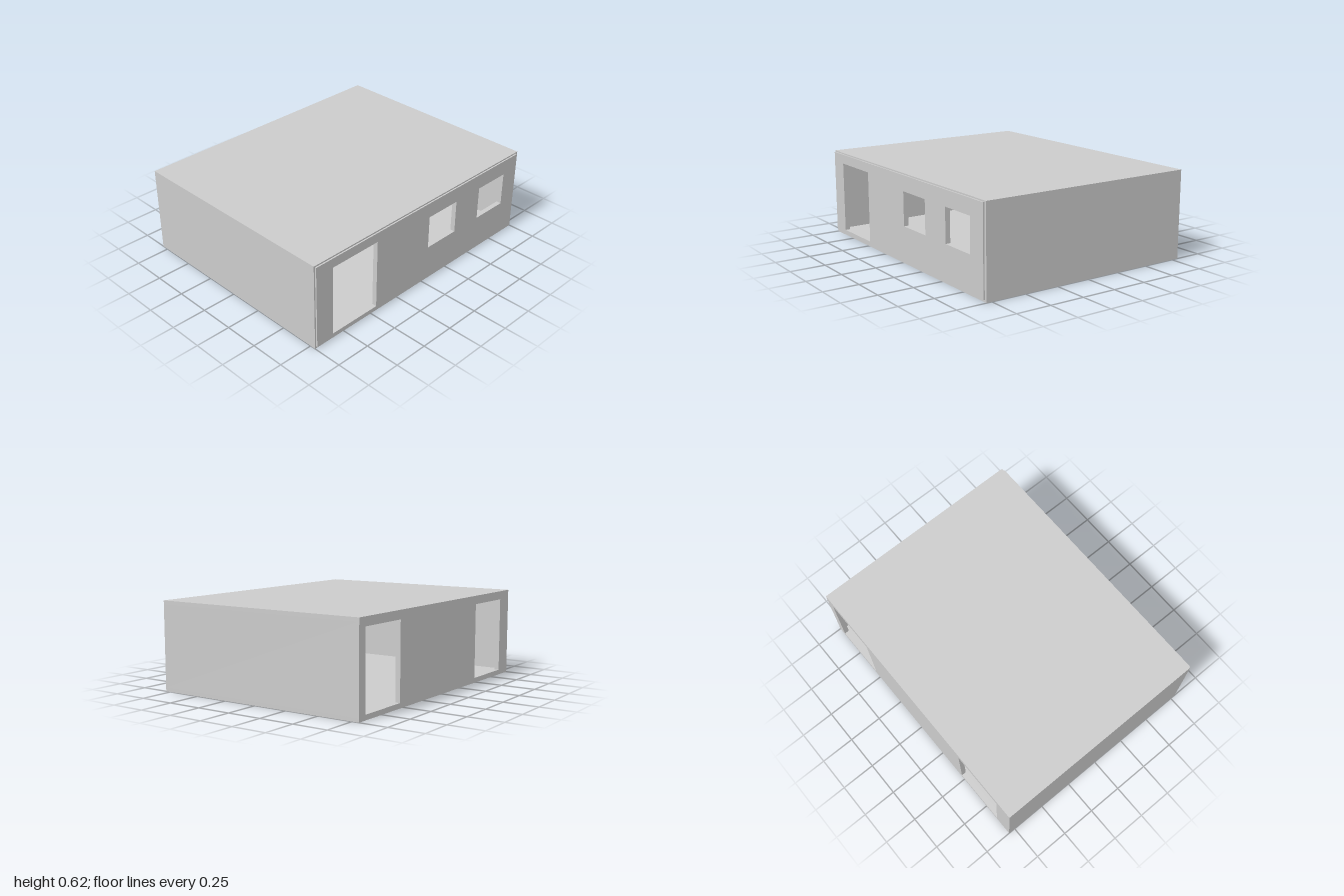
import * as THREE from 'three';

const material = new THREE.MeshStandardMaterial({ color: 0xcccccc, flatShading: true });

const T = 0.025;                 // slab and side wall thickness
const H = 0.625;                 // overall height
const Z0 = -0.8, Z1 = 0.79;      // shell depth; the front panel projects slightly past it

function slab(name, x0, x1, y0, y1, z0, z1) {
  const mesh = new THREE.Mesh(new THREE.BoxGeometry(x1 - x0, y1 - y0, z1 - z0), material);
  mesh.position.set((x0 + x1) / 2, (y0 + y1) / 2, (z0 + z1) / 2);
  mesh.name = name;
  return mesh;
}

function rect(path, [x0, x1, y0, y1]) {
  path.moveTo(x0, y0);
  path.lineTo(x1, y0);
  path.lineTo(x1, y1);
  path.lineTo(x0, y1);
  path.closePath();
  return path;
}

// Upright wall with rectangular openings, each given as [x0, x1, y0, y1]
function wall(name, outline, openings, z0, z1) {
  const shape = rect(new THREE.Shape(), outline);
  openings.forEach((o) => shape.holes.push(rect(new THREE.Path(), o)));
  const geometry = new THREE.ExtrudeGeometry(shape, { depth: z1 - z0, bevelEnabled: false });
  geometry.translate(0, 0, z0);
  const mesh = new THREE.Mesh(geometry, material);
  mesh.name = name;
  return mesh;
}

export function createModel() {
  const group = new THREE.Group();
  group.name = 'building';

  // Floor, roof and the two plain side walls
  group.add(slab('floor', -1, 1, 0, T, Z0, Z1));
  group.add(slab('roof', -1, 1, H - T, H, Z0, Z1));
  group.add(slab('rightWall', -1, -1 + T, T, H - T, Z0, Z1));
  group.add(slab('leftWall', 1 - T, 1, T, H - T, Z0, Z1));

  // Back wall with two doorways
  group.add(wall('backWall', [-1 + T, 1 - T, T, H - T], [
    [-0.866, -0.473, 0.035, 0.565],
    [0.54, 0.933, 0.035, 0.565],
  ], Z0, Z0 + 0.035));

  // Front wall: infill between the slabs plus a thin projecting face
  const frontOpenings = [
    [-0.853, -0.46, 0.043, 0.548],
    [0.04, 0.318, 0.265, 0.505],
    [0.564, 0.842, 0.265, 0.505],
  ];
  group.add(wall('frontWall', [-1 + T, 1 - T, T, H - T], frontOpenings, 0.765, Z1));
  group.add(wall('frontFace', [-0.99, 0.983, 0.015, 0.615], frontOpenings, Z1, 0.8));

  return group;
}
